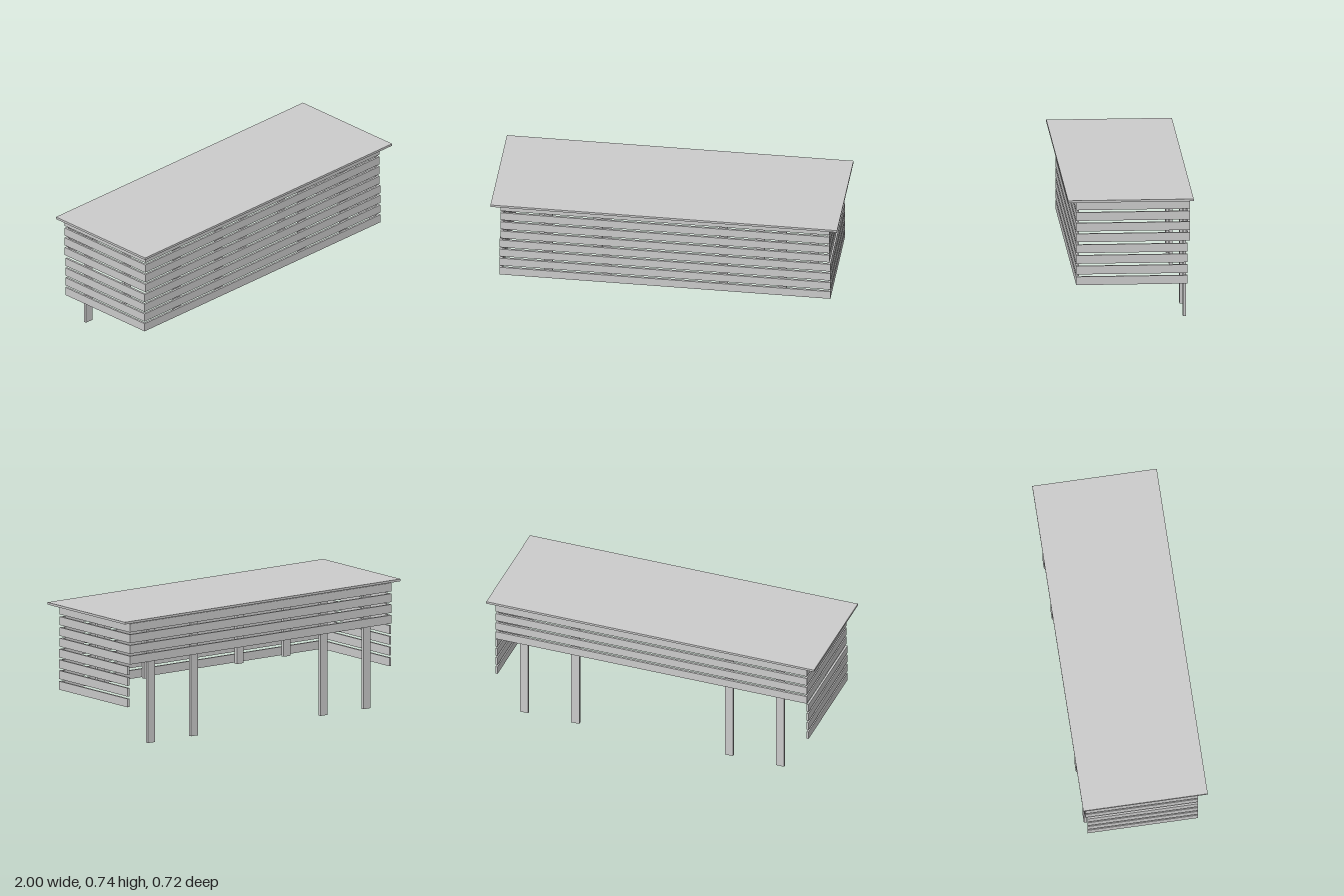
import * as THREE from 'three';

const material = new THREE.MeshStandardMaterial({ color: 0xcccccc, flatShading: true });

// Box given by its min and max on each axis
function box(parent, name, [x0, x1], [y0, y1], [z0, z1]) {
  const mesh = new THREE.Mesh(new THREE.BoxGeometry(x1 - x0, y1 - y0, z1 - z0), material);
  mesh.name = name;
  mesh.position.set((x0 + x1) / 2, (y0 + y1) / 2, (z0 + z1) / 2);
  parent.add(mesh);
}

function namedGroup(parent, name) {
  const group = new THREE.Group();
  group.name = name;
  parent.add(group);
  return group;
}

export function createModel() {
  const model = new THREE.Group();
  model.name = 'slattedCounter';

  // Overhanging counter top
  box(model, 'counterTop', [-1, 1], [0.722, 0.735], [-0.36, 0.36]);

  // Posts: short ones behind the front slats, long legs at the back
  const posts = namedGroup(model, 'posts');
  const half = 0.025;
  for (const side of [-1, 1]) {
    for (const x of [0.336, 0.675]) {
      box(posts, 'frontPost', [side * x - half, side * x + half], [0.221, 0.722], [0.28, 0.299]);
    }
    for (const x of [0.469, 0.781]) {
      box(posts, 'backLeg', [side * x - half, side * x + half], [0, 0.722], [-0.328, -0.31]);
    }
  }

  // Slats: four upper rows go all round, four lower rows leave the back open
  const slats = namedGroup(model, 'slats');
  const thick = 0.012, pitch = 0.0627, height = 0.049;
  for (let row = 0; row < 8; row++) {
    const upper = row >= 4;
    const y0 = 0.2275 + row * pitch;
    const y = [y0, y0 + height];
    const outer = upper ? 0.949 : 0.955;
    const frontHalf = upper ? outer : outer - thick;
    box(slats, 'frontSlat', [-frontHalf, frontHalf], y, [0.299, 0.311]);
    const z = upper ? [-0.328, 0.299] : [-0.328, 0.311];
    box(slats, 'leftSlat', [outer - thick, outer], y, z);
    box(slats, 'rightSlat', [-outer, thick - outer], y, z);
    if (upper) box(slats, 'backSlat', [-outer, outer], y, [-0.341, -0.328]);
  }
  return model;
}
